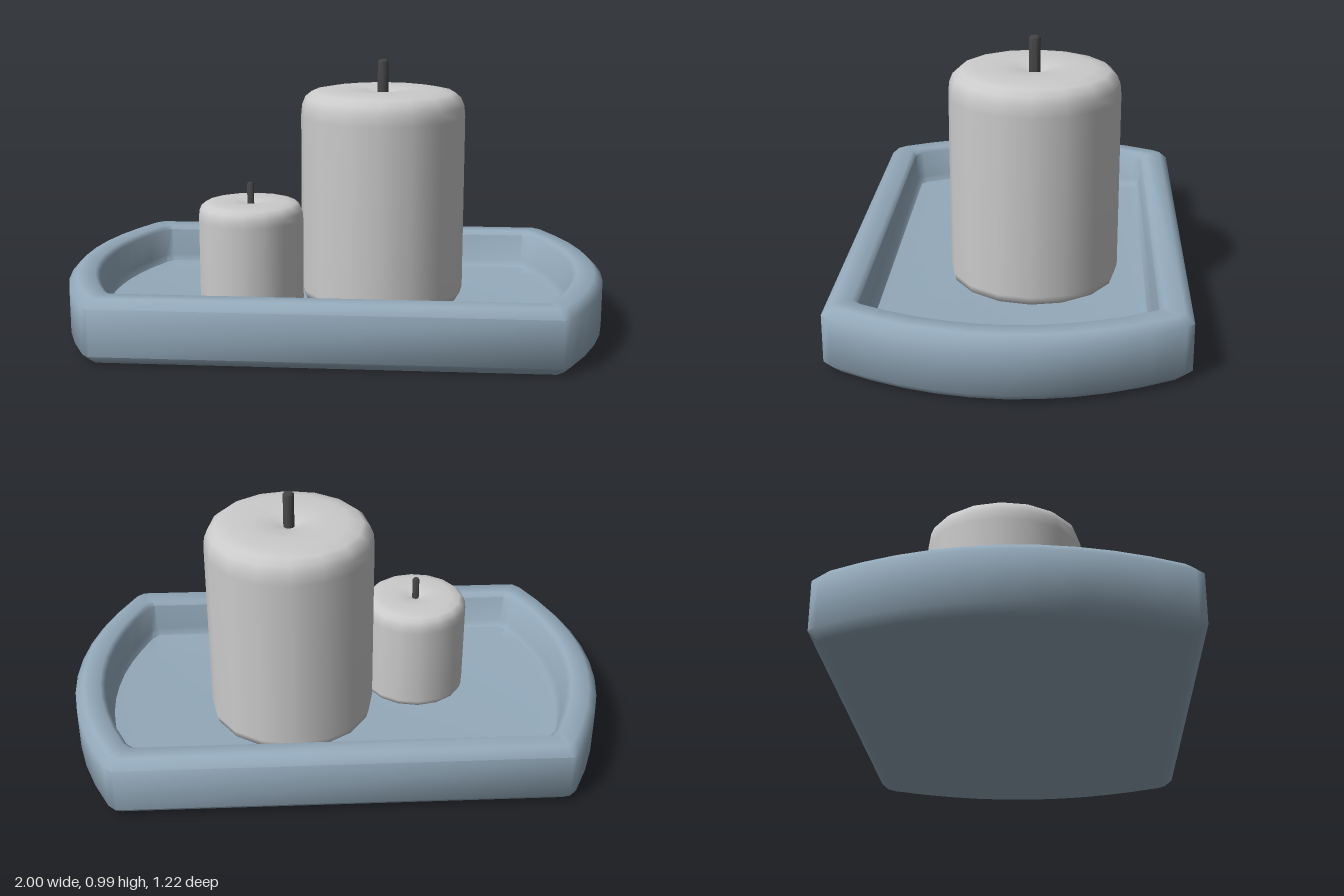
import * as THREE from 'three';
import { toCreasedNormals } from 'three/addons/utils/BufferGeometryUtils.js';

const trayMaterial = new THREE.MeshStandardMaterial({ color: 0x94aabb });
const waxMaterial = new THREE.MeshStandardMaterial({ color: 0xcccccc });
const wickMaterial = new THREE.MeshStandardMaterial({ color: 0x444444 });

// Tray outline: straight long sides, bowed ends, clipped corners; d insets it
function outline(d) {
  const hz = 0.61 - d, ex = 1 - d, cx = 0.82 - 0.6 * d, clip = 0.028, n = 10;
  const end = [[cx - 0.012, hz]];
  for (let i = 0; i <= n; i++) {
    const z = (hz - clip) * (1 - (2 * i) / n);
    end.push([ex - (ex - cx) * (z / hz) ** 2, z]);
  }
  end.push([cx - 0.012, -hz]);
  return [...end, ...end.map(([x, z]) => [-x, -z])];
}

// Tray: rings [inset, y] lofted from the underside, over the rim, to the floor
function buildTray() {
  const rings = [
    [0.06, 0], [0.03, 0], [0, 0.03], [0, 0.2], [0.03, 0.23],
    [0.095, 0.23], [0.112, 0.215], [0.122, 0.11], [0.137, 0.085], [0.2, 0.08],
  ];
  const positions = [], index = [];
  const n = outline(0).length;
  for (const [d, y] of rings) for (const [x, z] of outline(d)) positions.push(x, y, z);
  const bottom = positions.length / 3, floor = bottom + 1;
  positions.push(0, 0, 0, 0, 0.08, 0);
  for (let j = 0; j < n; j++) {
    const k = (j + 1) % n;
    for (let r = 0; r < rings.length - 1; r++) {
      const a = r * n + j, b = r * n + k;
      index.push(a, b, b + n, a, b + n, a + n);
    }
    const last = (rings.length - 1) * n;
    index.push(bottom, k, j, floor, last + j, last + k);
  }
  const geometry = new THREE.BufferGeometry();
  geometry.setAttribute('position', new THREE.Float32BufferAttribute(positions, 3));
  geometry.setIndex(index);
  const tray = new THREE.Mesh(toCreasedNormals(geometry, 0.9), trayMaterial);
  tray.name = 'tray';
  return tray;
}

// Candle: turned wax body with a soft shoulder and a dimple around the wick
function buildCandle(name, x, z, radius, top, wickTop, wickRadius) {
  const base = 0.08, s = radius / 0.31;
  const profile = [
    [0, base], [radius - 0.03 * s, base], [radius - 0.008 * s, base + 0.012 * s], [radius, base + 0.04 * s],
    [radius, top - 0.1 * s], [radius - 0.004 * s, top - 0.06 * s], [radius - 0.016 * s, top - 0.03 * s],
    [radius - 0.04 * s, top - 0.01 * s], [radius - 0.09 * s, top - 0.001 * s], [radius * 0.45, top],
    [radius * 0.22, top - 0.004 * s], [radius * 0.1, top - 0.02 * s], [0, top - 0.025 * s],
  ].map(([r, y]) => new THREE.Vector2(r, y));
  const candle = new THREE.Group();
  candle.name = name;
  candle.position.set(x, 0, z);

  const wax = new THREE.Mesh(new THREE.LatheGeometry(profile, 16), waxMaterial);
  wax.name = 'wax';

  // Wick with a slightly bevelled tip
  const wickProfile = [
    [wickRadius, top - 0.05], [wickRadius, wickTop - 0.006], [wickRadius * 0.75, wickTop], [0, wickTop],
  ].map(([r, y]) => new THREE.Vector2(r, y));
  const wick = new THREE.Mesh(toCreasedNormals(new THREE.LatheGeometry(wickProfile, 10), 0.8), wickMaterial);
  wick.name = 'wick';

  candle.add(wax, wick);
  return candle;
}

export function createModel() {
  const model = new THREE.Group();
  model.name = 'candleTray';
  model.add(
    buildTray(),
    buildCandle('largeCandle', 0.172, -0.063, 0.31, 0.88, 0.99, 0.021),
    buildCandle('smallCandle', -0.313, 0.09, 0.197, 0.475, 0.545, 0.013),
  );
  return model;
}
